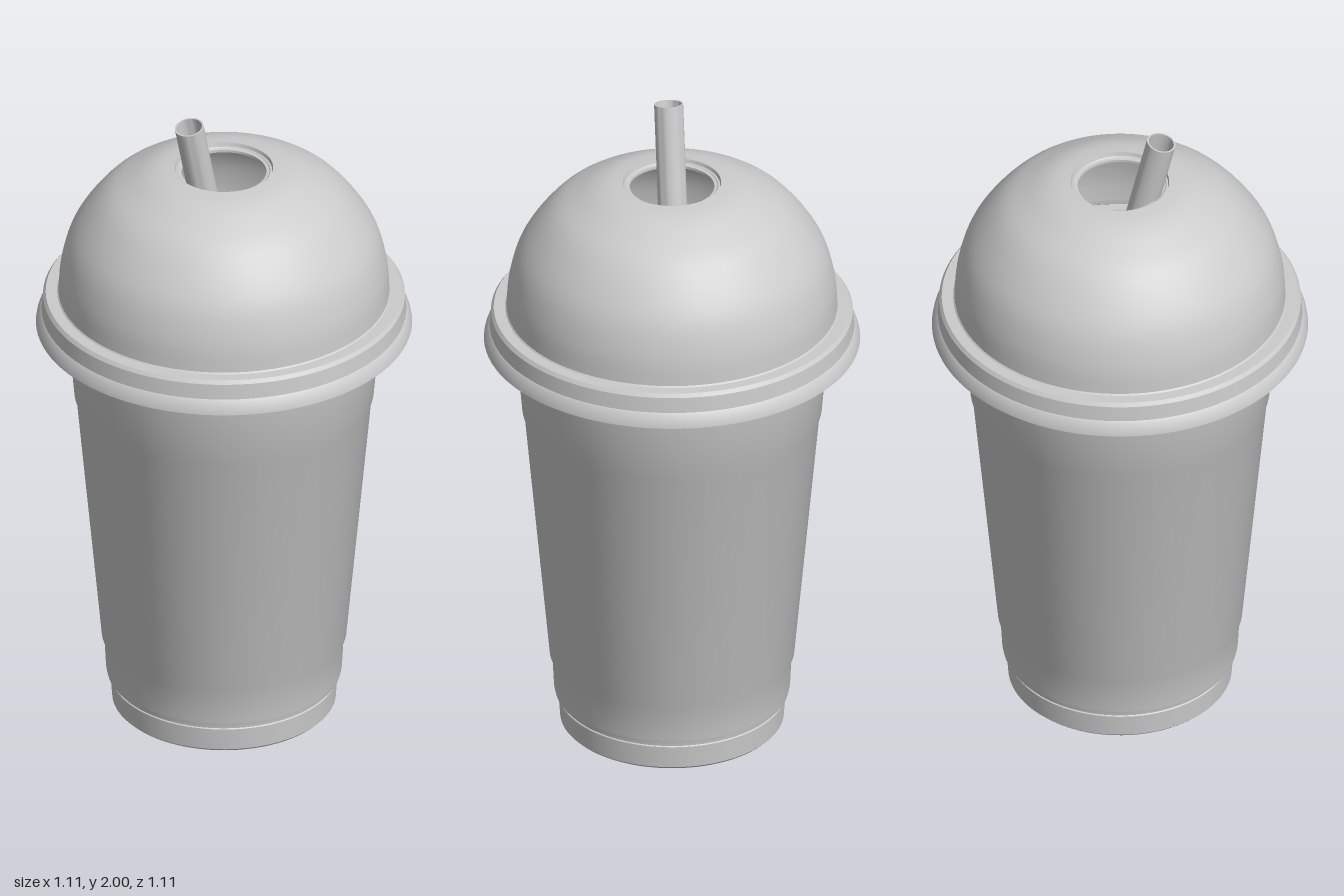
import * as THREE from 'three';
import { toCreasedNormals } from 'three/addons/utils/BufferGeometryUtils.js';

const material = new THREE.MeshStandardMaterial({ color: 0xcccccc, side: THREE.DoubleSide });

// Revolve a list of [radius, height] pairs, keeping sharp steps crisp
function revolve(name, profile, segments = 96) {
  const points = profile.map(([r, y]) => new THREE.Vector2(r, y));
  const geometry = toCreasedNormals(new THREE.LatheGeometry(points, segments), 0.5);
  const mesh = new THREE.Mesh(geometry, material);
  mesh.name = name;
  return mesh;
}

// Sample a smooth curve through [radius, height] pairs
function smooth(pairs, count) {
  const curve = new THREE.SplineCurve(pairs.map(([r, y]) => new THREE.Vector2(r, y)));
  return curve.getPoints(count).map((p) => [p.x, p.y]);
}

export function createModel() {
  const model = new THREE.Group();
  model.name = 'domeLidCup';

  // Tapered cup: base foot, groove, stepped wall, rolled lip and inner wall
  model.add(revolve('cup', [
    [0, 0], [0.322, 0], [0.33, 0.008], [0.335, 0.078], [0.329, 0.083],
    [0.331, 0.09], [0.345, 0.096], [0.348, 0.11], [0.353, 0.205], [0.361, 0.222],
    [0.436, 1.03], [0.442, 1.042], [0.465, 1.3],
    [0.49, 1.3], [0.502, 1.315], [0.502, 1.335], [0.49, 1.35], [0.462, 1.35],
    [0.455, 1.3], [0.432, 1.042], [0.426, 1.03], [0.351, 0.222], [0.343, 0.205],
    [0.335, 0.1], [0.322, 0.02], [0, 0.02],
  ]));

  // Domed lid: flared skirt, rim ledge, dome and a lipped hole on top
  const dome = [[0.488, 1.385], [0.48, 1.48], [0.445, 1.59], [0.36, 1.705],
    [0.27, 1.765], [0.205, 1.793], [0.145, 1.802]];
  const inner = dome.map(([r, y]) => [r - 0.008, y - 0.01]).reverse();
  model.add(revolve('lid', [
    [0.555, 1.278], [0.553, 1.29], [0.542, 1.318], [0.538, 1.322],
    [0.534, 1.37], [0.526, 1.381], [0.492, 1.381],
    ...smooth(dome, 28),
    [0.142, 1.79], [0.125, 1.788], [0.125, 1.78],
    ...smooth(inner, 28),
    [0.48, 1.371], [0.522, 1.371], [0.528, 1.322], [0.534, 1.314],
    [0.548, 1.278], [0.555, 1.278],
  ]));

  // Hollow straw leaning diagonally through the hole down into the cup
  const top = new THREE.Vector3(-0.104, 1.99, 0.087);
  const foot = new THREE.Vector3(0.186, 0.25, -0.203);
  const length = top.distanceTo(foot);
  const straw = revolve('straw', [
    [0.038, 0], [0.043, 0], [0.043, length], [0.038, length], [0.038, 0],
  ], 32);
  straw.position.copy(foot);
  straw.quaternion.setFromUnitVectors(
    new THREE.Vector3(0, 1, 0), top.clone().sub(foot).normalize());
  model.add(straw);

  return model;
}
